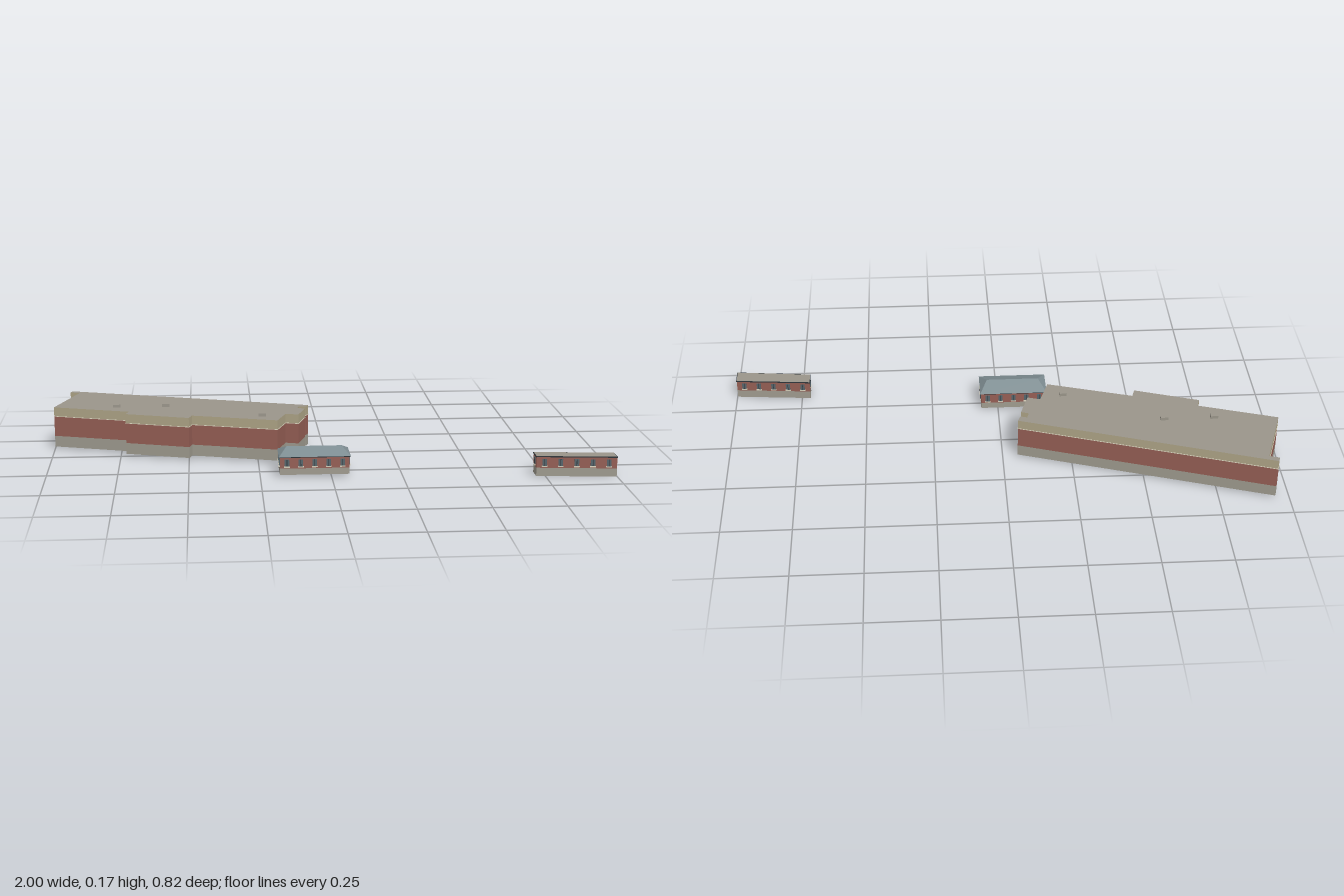
import * as THREE from 'three';

const mat = (name, color) => {
  const m = new THREE.MeshStandardMaterial({ color, side: THREE.DoubleSide });
  m.name = name;
  return m;
};

export function createModel() {
  const brick = mat('brick red', 0x965f55);
  const stone = mat('grey stone', 0xa09c90);
  const tan = mat('tan band', 0xb0a688);
  const flat = mat('flat roof grey', 0x9a958a);
  const slate = mat('blue slate', 0x7e8d92);
  const trim = mat('dark trim', 0x2c3238);
  const glass = mat('window glass', 0x56666d);
  const pale = mat('pale stone', 0xd6cfba);

  const model = new THREE.Group();
  model.name = 'buildingGroup';

  const add = (parent, name, geo, material) => {
    const m = new THREE.Mesh(geo, material);
    m.name = name;
    parent.add(m);
    return m;
  };

  // Triangles from a list of 3D polygons (fans)
  const faces = (polys) => {
    const pos = [];
    for (const p of polys)
      for (let i = 1; i < p.length - 1; i++) pos.push(...p[0], ...p[i], ...p[i + 1]);
    const g = new THREE.BufferGeometry();
    g.setAttribute('position', new THREE.Float32BufferAttribute(pos, 3));
    g.computeVertexNormals();
    return g;
  };

  // Open band of wall following an outline of [x, z] points
  const wall = (pts, y0, y1) => faces(pts.map((a, i) => {
    const b = pts[(i + 1) % pts.length];
    return [[b[0], y0, b[1]], [a[0], y0, a[1]], [a[0], y1, a[1]], [b[0], y1, b[1]]];
  }));

  // Flat cap over an outline
  const cap = (pts, y) => {
    const g = new THREE.ShapeGeometry(new THREE.Shape(pts.map(([x, z]) => new THREE.Vector2(x, -z))));
    return g.rotateX(-Math.PI / 2).translate(0, y, 0);
  };

  // Thin strip running along every edge of an outline
  const strip = (parent, name, pts, y, h, t, material) => pts.forEach((a, i) => {
    const b = pts[(i + 1) % pts.length];
    const dx = b[0] - a[0], dz = b[1] - a[1];
    const m = add(parent, name, new THREE.BoxGeometry(Math.hypot(dx, dz) + t, h, t), material);
    m.position.set((a[0] + b[0]) / 2, y, (a[1] + b[1]) / 2);
    m.rotation.y = -Math.atan2(dz, dx);
  });

  // Evenly spaced windows with sills along one wall
  const windows = (parent, a, b, count) => {
    const angle = -Math.atan2(b[1] - a[1], b[0] - a[0]);
    for (let i = 0; i < count; i++) {
      const t = (i + 0.5) / count;
      const w = new THREE.Group();
      w.name = 'window';
      add(w, 'pane', new THREE.BoxGeometry(0.016, 0.025, 0.005), glass).position.y = 0.05;
      add(w, 'mullion', new THREE.BoxGeometry(0.002, 0.025, 0.006), trim).position.y = 0.05;
      add(w, 'sill', new THREE.BoxGeometry(0.02, 0.004, 0.008), pale).position.y = 0.036;
      w.position.set(a[0] + (b[0] - a[0]) * t, 0, a[1] + (b[1] - a[1]) * t);
      w.rotation.y = angle;
      parent.add(w);
    }
  };

  // Large banded hall with stepped outline
  const hall = new THREE.Group();
  hall.name = 'largeHall';
  model.add(hall);
  const plan = [
    [-0.95, -0.408], [-0.055, -0.107], [-0.066, -0.08], [-0.09, -0.088], [-0.098, -0.062],
    [-0.07, -0.052], [-0.1, 0.043], [-0.146, 0.028], [-0.18, 0.128], [-0.488, 0.032],
    [-0.499, 0.068], [-0.73, -0.01], [-0.719, -0.046], [-1, -0.138], [-0.922, -0.375], [-0.957, -0.387],
  ];
  add(hall, 'baseBand', wall(plan, 0.007, 0.048), stone);
  add(hall, 'brickBand', wall(plan, 0.048, 0.123), brick);
  add(hall, 'upperBand', wall(plan, 0.123, 0.157), tan);
  strip(hall, 'ledge', plan, 0.123, 0.002, 0.003, pale);
  add(hall, 'flatRoof', cap(plan, 0.157), flat);
  for (const [x, z] of [[-0.767, -0.125], [-0.585, -0.125], [-0.232, 0.053]])
    add(hall, 'roofVent', new THREE.BoxGeometry(0.027, 0.011, 0.018), flat).position.set(x, 0.1625, z);

  // Low brick building with stone base, windows and dark eaves
  const lowBuilding = (name, pts, y0, counts) => {
    const g = new THREE.Group();
    g.name = name;
    model.add(g);
    add(g, 'stoneBase', wall(pts, y0, 0.03), stone);
    add(g, 'brickWalls', wall(pts, 0.03, 0.071), brick);
    strip(g, 'eavesTrim', pts, 0.0705, 0.003, 0.004, trim);
    pts.forEach((a, i) => windows(g, a, pts[(i + 1) % 4], counts[i]));
    return g;
  };

  // Hip-roofed house
  const house = lowBuilding('hipRoofHouse',
    [[-0.181, 0.206], [0.064, 0.206], [0.064, 0.324], [-0.181, 0.324]], 0.007, [5, 3, 5, 3]);
  const y = 0.072;
  const A = [-0.185, y, 0.202], B = [0.068, y, 0.202], C = [0.068, y, 0.328], D = [-0.185, y, 0.328];
  const R0 = [-0.155, 0.096, 0.265], R1 = [0.04, 0.096, 0.265];
  add(house, 'hipRoof', faces([[D, C, R1, R0], [B, A, R0, R1], [C, B, R1], [A, D, R0]]), slate);

  // Flat-roofed outbuilding, slightly turned
  const shedPlan = [[0.718, 0.322], [0.998, 0.347], [0.998, 0.406], [0.718, 0.376]];
  const shed = lowBuilding('flatRoofOutbuilding', shedPlan, 0, [5, 1, 5, 1]);
  add(shed, 'flatRoof', cap(shedPlan, 0.0725), flat);

  return model;
}
